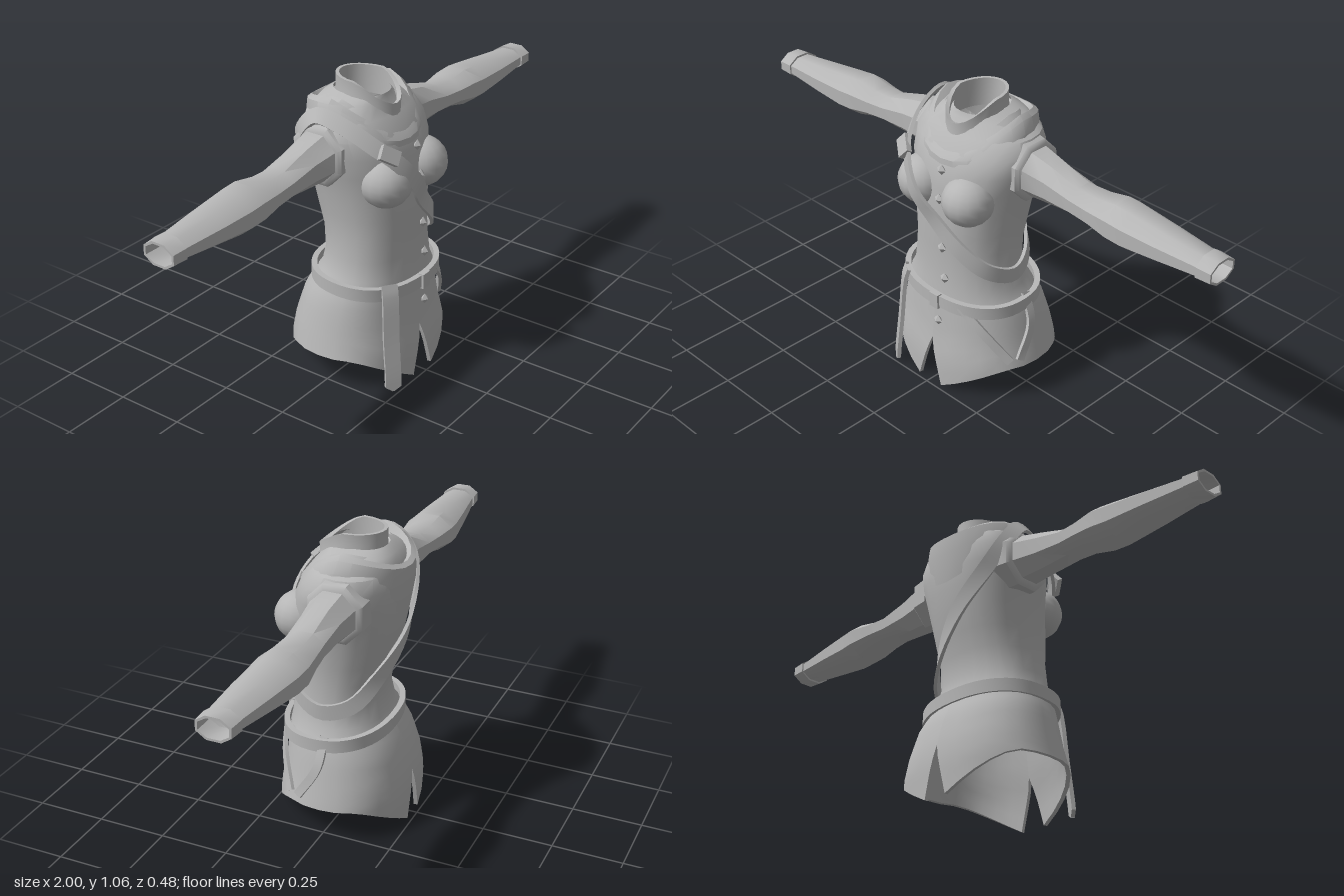
import * as THREE from 'three';
import { toCreasedNormals } from 'three/addons/utils/BufferGeometryUtils.js';

const cloth = new THREE.MeshStandardMaterial({ color: 0xb6b6b6, side: THREE.DoubleSide });
cloth.name = 'grey cloth';
const V = (x, y, z) => new THREE.Vector3(x, y, z);
const lerp = THREE.MathUtils.lerp;

// Body cross-sections: height, half width, front z, back z
const ROWS = [
  [0, .3, .235, -.235], [.13, .298, .23, -.235], [.2, .28, .215, -.225], [.3, .255, .205, -.195],
  [.36, .235, .2, -.16], [.4, .207, .195, -.135], [.47, .195, .19, -.12], [.55, .187, .19, -.13],
  [.62, .192, .192, -.15], [.7, .2, .19, -.17], [.78, .215, .185, -.185], [.85, .232, .175, -.193],
  [.91, .238, .148, -.193], [.96, .215, .11, -.18], [1.0, .14, .075, -.155], [1.02, .085, .07, -.125],
];

// Point on the body surface: angle 0 is the front, PI/2 is the left side
function at(t, y, off = 0) {
  let i = 0;
  while (i < ROWS.length - 2 && y > ROWS[i + 1][0]) i++;
  const a = ROWS[i], b = ROWS[i + 1];
  const k = THREE.MathUtils.clamp((y - a[0]) / (b[0] - a[0]), 0, 1);
  const [w, f, r] = [1, 2, 3].map(j => lerp(a[j], b[j], k));
  const s = Math.sin(t), c = Math.cos(t);
  return V((w + off) * Math.sign(s) * Math.abs(s) ** .88, y,
    (f + r) / 2 + ((f - r) / 2 + off) * Math.sign(c) * Math.abs(c) ** .88);
}

// Surface from a grid of points p(i, j)
function grid(nu, nv, p, crease = .6) {
  const pos = [], idx = [];
  for (let j = 0; j <= nv; j++) for (let i = 0; i <= nu; i++) pos.push(...p(i, j).toArray());
  for (let j = 0; j < nv; j++) for (let i = 0; i < nu; i++) {
    const a = j * (nu + 1) + i, b = a + 1, c = a + nu + 1, d = c + 1;
    idx.push(a, b, d, a, d, c);
  }
  const g = new THREE.BufferGeometry();
  g.setAttribute('position', new THREE.Float32BufferAttribute(pos, 3));
  g.setIndex(idx);
  return toCreasedNormals(g, crease);
}

// Flat leather strip following points, with its flat side against the body
function strip(points, width, closed, n, thick = .012, pointed = false) {
  const curve = new THREE.CatmullRomCurve3(points, closed, 'centripetal');
  const corners = [[-1, -1], [1, -1], [1, 1], [-1, 1], [-1, -1]];
  return grid(4, n, (i, j) => {
    const u = closed ? (j % n) / n : j / n;
    const p = curve.getPoint(u), tan = curve.getTangent(u);
    const out = V(p.x, p.y - Math.min(p.y, .82), p.z + .01).normalize();
    const side = out.clone().cross(tan).normalize();
    out.crossVectors(tan, side).normalize();
    const w = pointed && j === n ? .003 : width / 2;
    return p.addScaledVector(side, corners[i][0] * w).addScaledVector(out, corners[i][1] * thick / 2);
  }, .5);
}

export function createModel() {
  const root = new THREE.Group();
  root.name = 'beltedCoat';
  const add = (name, geo, parent = root) => {
    const m = new THREE.Mesh(geo, cloth);
    m.name = name;
    parent.add(m);
    return m;
  };

  // Bodice from the waist to the neck
  const bodyRows = ROWS.slice(4);
  add('bodice', grid(24, bodyRows.length - 1, (i, j) => at(i / 24 * Math.PI * 2, bodyRows[j][0])));
  for (const s of [-1, 1]) {
    const bust = add('bust', new THREE.SphereGeometry(.09, 16, 12));
    bust.position.set(s * .105, .757, .143);
    bust.scale.set(1, .98, 1.02);
  }

  // Skirt: two thick panels, split at front and back
  const NU = 14, NV = 8;
  for (const s of [-1, 1]) {
    const panel = (i, j, off) => {
      const u = i / NU, t = u * Math.PI;
      const hem = .008 + Math.min(.122, .14 * Math.sin(t));
      const y = lerp(hem, .37, j / NV);
      const slit = Math.max(0, (.18 - y) / .18) * .15;
      const p = at(lerp(slit, Math.PI - slit * .85, u), y, off);
      p.x *= s;
      return p;
    };
    const side = new THREE.Group();
    side.name = s > 0 ? 'leftSkirt' : 'rightSkirt';
    root.add(side);
    add('skirtOutside', grid(NU, NV, (i, j) => panel(i, j, 0)), side);
    add('skirtLining', grid(NU, NV, (i, j) => panel(i, j, -.014)), side);
    add('skirtHem', grid(NU, 1, (i, j) => panel(i, 0, -.014 * j)), side);
    for (const e of [0, NU]) add('slitEdge', grid(1, NV, (i, j) => panel(e, j, -.014 * i)), side);
  }

  // Sleeves: x, bottom, top, back z, front z
  const SLEEVE = [
    [.17, .745, .965, -.145, .065], [.232, .745, .955, -.14, .062], [.242, .755, .945, -.13, .052],
    [.245, .768, .935, -.122, .045], [.33, .773, .915, -.108, .035], [.44, .78, .882, -.105, .032],
    [.52, .775, .88, -.115, .038], [.6, .755, .893, -.128, .047], [.66, .752, .888, -.124, .047],
    [.78, .768, .878, -.108, .044], [.95, .79, .864, -.082, .034],
  ];
  const CUFF = [
    [.945, .79, .864, -.08, .034], [.945, .783, .872, -.088, .04], [1, .787, .868, -.083, .038],
    [1, .795, .86, -.075, .03], [.93, .795, .86, -.075, .03],
  ];
  const tube = (rows, s) => grid(8, rows.length - 1, (i, j) => {
    const [x, b, t, zb, zf] = rows[j], a = (i / 8) * Math.PI * 2 * -s + Math.PI / 8;
    return V(s * x, (b + t) / 2 + (t - b) / 2 * Math.sin(a) * 1.05, (zb + zf) / 2 + (zf - zb) / 2 * Math.cos(a) * 1.05);
  }, .7);
  for (const s of [-1, 1]) {
    add(s > 0 ? 'leftSleeve' : 'rightSleeve', tube(SLEEVE, s));
    add(s > 0 ? 'leftCuff' : 'rightCuff', tube(CUFF, s));
  }

  // Draped rings: half width, front z, back z, then height at side, front, back
  const drape = rows => grid(24, rows.length - 1, (i, j) => {
    const [w, f, b, ys, yf, yb] = rows[j], t = i / 24 * Math.PI * 2, c = Math.cos(t);
    const y = c > 0 ? lerp(ys, yf, c ** 1.4) : lerp(ys, yb, c * c);
    return V(w * Math.sin(t), y, (f + b) / 2 + (f - b) / 2 * c);
  }, .5);
  add('loweredHood', drape([
    [.205, .17, -.195, .945, .865, .8], [.2, .168, -.212, .975, .885, .9], [.182, .152, -.212, 1.015, .905, .965],
    [.165, .135, -.195, 1.03, .92, .975], [.145, .125, -.17, 1.005, .915, .955],
    [.128, .122, -.155, 1.02, .925, .985], [.09, .1, -.12, .985, .91, .97],
  ]));
  add('standingCollar', drape([
    [.1, .125, -.125, .97, .9, .97], [.088, .115, -.12, 1.03, .955, 1.03], [.09, .115, -.12, 1.068, .995, 1.07],
    [.078, .1, -.108, 1.068, .99, 1.07], [.075, .095, -.105, .97, .9, .97],
  ]));

  // Waist belt with its hanging end
  const beltPoints = [];
  for (let i = 0; i < 24; i++) {
    const t = i / 24 * Math.PI * 2;
    beltPoints.push(at(t, .368 - .01 * Math.cos(t) - .01 * Math.sin(t), .012));
  }
  add('waistBelt', strip(beltPoints, .046, true, 48, .02));
  add('hangingBeltEnd', strip([V(-.148, .4, .19), V(-.155, .36, .2), V(-.165, .2, .212),
    V(-.172, .06, .226), V(-.175, .008, .228)], .056, false, 12, .014, true));
  const buckle = add('beltBuckle', new THREE.BoxGeometry(.04, .055, .02));
  buckle.position.set(.02, .357, .22);

  // Scabbard straps on the left hip
  add('frontHipStrap', strip([at(.45, .365, .016), at(.75, .28, .014), at(1.12, .165, .012)], .03, false, 10));
  add('rearHipStrap', strip([at(1.68, .385, .018), at(1.55, .28, .014), at(1.27, .165, .012)], .03, false, 10));

  // Shoulder strap across chest and back
  add('shoulderStrap', strip([
    V(-.222, .985, -.05), V(-.205, .96, .06), V(-.168, .9, .15), V(-.125, .85, .2), V(-.06, .765, .234),
    V(.01, .675, .212), at(.52, .575, .014), at(1.05, .5, .012), at(1.6, .462, .012), at(2.2, .485, .012),
    at(2.75, .575, .012), at(3.3, .69, .012), at(3.85, .81, .012), at(4.2, .91, .014),
  ], .055, true, 64));
  const clasp = add('strapClasp', new THREE.BoxGeometry(.07, .05, .02));
  clasp.position.set(-.15, .88, .19);
  clasp.rotation.set(-.5, -.3, -.75);

  // Diamond buttons down the front
  for (const [x, y] of [[.02, .855], [.022, .75], [.036, .567], [.048, .45], [.03, .275]]) {
    const b = add('button', new THREE.OctahedronGeometry(.02).toNonIndexed());
    b.position.set(x, y, at(0, y).z + .01);
    b.scale.z = .7;
  }
  return root;
}
